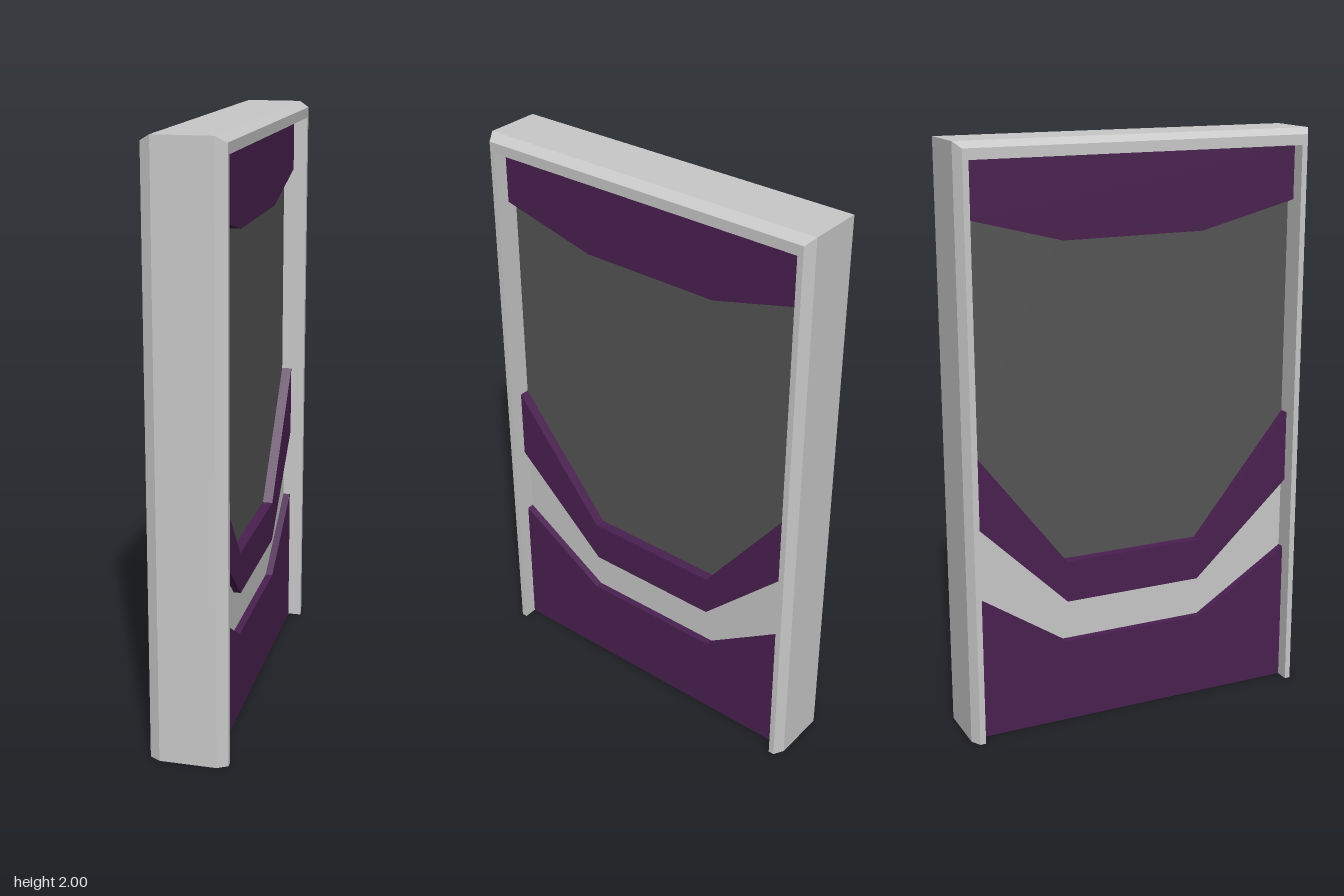
import * as THREE from 'three';

const HALF_W = 0.585, TOP = 1.945, DOOR_X = 0.082;

// A bent line across the door: edge height, then the two inner corners
const bentLine = (edgeY, midY, zA, zB) => [[HALF_W, edgeY], [zA, midY], [zB, midY], [-HALF_W, edgeY]];
const level = (y) => [[HALF_W, y], [-HALF_W, y]];

// Slab between an upper and a lower line in the z-y plane, spanning x0..x1
function slab(name, upper, lower, x0, x1, material) {
  const points = [...upper, ...[...lower].reverse()].map(([z, y]) => new THREE.Vector2(z, y));
  const geometry = new THREE.ExtrudeGeometry(new THREE.Shape(points), { depth: x1 - x0, bevelEnabled: false });
  geometry.rotateY(-Math.PI / 2).translate(x1, 0, 0);
  const mesh = new THREE.Mesh(geometry, material);
  mesh.name = name;
  return mesh;
}

// Chamfered section swept up one post, across the head and down the other post
function frameGeometry() {
  const section = [
    [0.13, HALF_W, TOP], [0.13, 0.605, 1.98], [0.095, 0.625, 2],
    [-0.095, 0.625, 2], [-0.13, 0.605, 1.98], [-0.13, HALF_W, TOP],
  ];
  const n = section.length;
  const positions = [], index = [];
  for (const [side, raised] of [[1, 0], [1, 1], [-1, 1], [-1, 0]]) {
    for (const [x, z, y] of section) positions.push(x, raised * y, side * z);
  }
  for (let s = 0; s < 3; s++) {
    for (let i = 0; i < n; i++) {
      const j = (i + 1) % n;
      const a = s * n + i, b = (s + 1) * n + i, c = (s + 1) * n + j, d = s * n + j;
      index.push(a, b, c, a, c, d);
    }
  }
  // Feet of the posts
  for (let i = 1; i < n - 1; i++) {
    index.push(0, i, i + 1);
    index.push(3 * n, 3 * n + i + 1, 3 * n + i);
  }
  const indexed = new THREE.BufferGeometry();
  indexed.setAttribute('position', new THREE.Float32BufferAttribute(positions, 3));
  indexed.setIndex(index);
  const geometry = indexed.toNonIndexed();
  geometry.computeVertexNormals();
  return geometry;
}

export function createModel() {
  const lightGrey = new THREE.MeshStandardMaterial({ color: 0xc9c9c9 });
  lightGrey.name = 'light grey';
  const purple = new THREE.MeshStandardMaterial({ color: 0x4a2050 });
  purple.name = 'purple';
  const darkGrey = new THREE.MeshStandardMaterial({ color: 0x555555 });
  darkGrey.name = 'dark grey';

  const model = new THREE.Group();
  model.name = 'door';

  const frame = new THREE.Mesh(frameGeometry(), lightGrey);
  frame.name = 'frame';
  model.add(frame);

  // Lines that divide the door, from top to bottom
  const windowTop = bentLine(1.76, 1.675, 0.24, -0.26);
  const windowBottom = bentLine(1.01, 0.585, 0.24, -0.26);
  const stripeTop = bentLine(0.76, 0.44, 0.235, -0.26);
  const stripeBottom = bentLine(0.505, 0.295, 0.25, -0.27);
  const lowered = stripeBottom.map(([z, y]) => [z, y - 0.01]);

  model.add(
    slab('topPanel', level(TOP), windowTop, -DOOR_X, DOOR_X, purple),
    slab('windowPanel', windowTop, windowBottom, -0.047, 0.047, darkGrey),
    slab('middleBand', windowBottom, stripeTop, -DOOR_X, DOOR_X, purple),
    slab('stripe', stripeTop, stripeBottom, -0.057, 0.057, lightGrey),
    // The lower part is a hollow shell, open underneath
    slab('lowerLedge', stripeBottom, lowered, -DOOR_X, DOOR_X, purple),
    slab('lowerPanelRight', lowered, level(0), DOOR_X - 0.004, DOOR_X, purple),
    slab('lowerPanelLeft', lowered, level(0), -DOOR_X, -DOOR_X + 0.004, purple),
  );
  return model;
}
